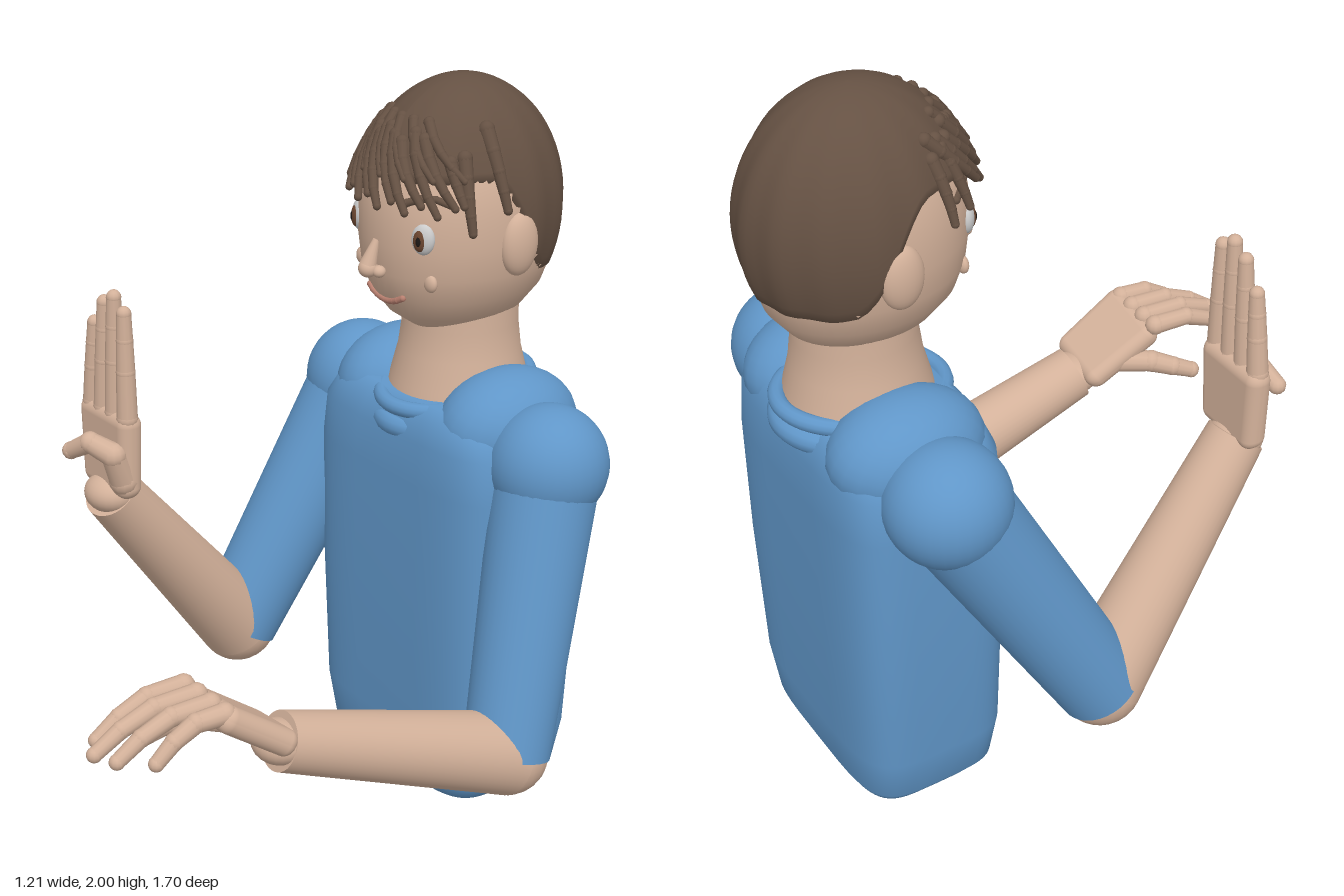
import * as THREE from 'three';
import { RoundedBoxGeometry } from 'three/addons/geometries/RoundedBoxGeometry.js';

const V = (x, y, z) => new THREE.Vector3(x, y, z);
const mat = (color) => { const m = new THREE.MeshStandardMaterial({ side: THREE.DoubleSide }); m.color.set(color); return m; };
const CX = -0.02, CZ = -0.56; // body axis

export function createModel() {
  const root = new THREE.Group();
  const skin = mat(0xd3b19a), blue = mat(0x6096c8), hair = mat(0x655143);
  const white = mat(0xd9dcdc), brown = mat(0x6b4630), pink = mat(0xb98070), dark = mat(0x1c1816);

  const add = (name, geo, m, parent = root) => {
    const mesh = new THREE.Mesh(geo, m);
    mesh.name = name;
    parent.add(mesh);
    return mesh;
  };
  const ball = (name, p, rx, ry, rz, m, parent = root, seg = 24) => {
    const b = add(name, new THREE.SphereGeometry(1, seg, Math.round(seg * 0.7)), m, parent);
    b.position.copy(p);
    b.scale.set(rx, ry, rz);
    return b;
  };
  const limb = (name, a, b, ra, rb, m, parent = root, seg = 28) => {
    const d = b.clone().sub(a);
    const c = add(name, new THREE.CylinderGeometry(rb, ra, d.length(), seg), m, parent);
    c.position.copy(a).addScaledVector(d, 0.5);
    c.quaternion.setFromUnitVectors(V(0, 1, 0), d.normalize());
    return c;
  };
  // Jointed chain: a ball at each point and a tapered link between neighbours
  const chain = (name, pts, r0, r1, m, parent = root) => {
    const g = new THREE.Group();
    g.name = name;
    parent.add(g);
    const n = pts.length - 1, r = (i) => r0 + (r1 - r0) * i / n;
    pts.forEach((p, i) => {
      ball('joint', p, r(i), r(i), r(i), m, g, 12);
      if (i < n) limb('link', p, pts[i + 1], r(i) * 0.96, r(i + 1) * 0.96, m, g, 12);
    });
    return g;
  };
  // Closed loft of superellipse rings: rows are [y, half width, half depth]
  const loft = (rows, power, seg = 64) => {
    const pos = [], idx = [], e = 2 / power;
    const s = (t) => Math.sign(t) * Math.pow(Math.abs(t), e);
    rows.forEach(([y, hx, hz], j) => {
      for (let i = 0; i < seg; i++) {
        const a = i / seg * Math.PI * 2, k = (i + 1) % seg;
        pos.push(CX + hx * s(Math.sin(a)), y, CZ + hz * s(Math.cos(a)));
        if (j) {
          const lo = (j - 1) * seg, hi = j * seg;
          idx.push(lo + i, lo + k, hi + k, lo + i, hi + k, hi + i);
        }
      }
    });
    const g = new THREE.BufferGeometry();
    g.setAttribute('position', new THREE.Float32BufferAttribute(pos, 3));
    g.setIndex(idx);
    g.computeVertexNormals();
    return g;
  };

  // Torso, shoulder rolls and collar
  add('torso', loft([[0, 0.001, 0.001], [0.003, 0.22, 0.13], [0.02, 0.28, 0.175], [0.07, 0.32, 0.2],
    [0.2, 0.345, 0.215], [0.6, 0.362, 0.226], [0.95, 0.367, 0.228], [1.07, 0.355, 0.222],
    [1.13, 0.32, 0.2], [1.16, 0.26, 0.17], [1.17, 0.001, 0.001]], 4.5), blue);
  for (const s of [-1, 1]) {
    const roll = ball('shoulderRoll', V(CX + s * 0.215, 1.105, CZ - 0.01), 0.155, 0.15, 0.205, blue);
    roll.rotation.z = -s * 0.25;
  }
  [[1.145, 0.17, 0.215, 0.022], [1.09, 0.165, 0.21, 0.032]].forEach(([y, rx, rz, t]) => {
    const ring = new THREE.CatmullRomCurve3(Array.from({ length: 16 }, (_, i) => {
      const a = i / 16 * Math.PI * 2;
      return V(CX + rx * Math.sin(a), y - 0.02 * Math.cos(a) + 0.01, CZ - 0.01 + rz * Math.cos(a));
    }), true);
    add('collar', new THREE.TubeGeometry(ring, 64, t, 12, true), blue);
  });

  // Neck and head
  const neck = add('neck', new THREE.LatheGeometry([[0.2, 1.1], [0.185, 1.18], [0.165, 1.26], [0.155, 1.34], [0.155, 1.45]]
    .map(([r, y]) => new THREE.Vector2(r, y)), 40), skin);
  neck.position.set(CX, 0, -0.58);
  const headRows = [[1.325, 0.001, 0.001], [1.329, 0.05, 0.07], [1.345, 0.095, 0.13], [1.39, 0.155, 0.195],
    [1.45, 0.2, 0.24], [1.52, 0.226, 0.262], [1.6, 0.236, 0.272], [1.7, 0.235, 0.272],
    [1.8, 0.212, 0.245], [1.9, 0.15, 0.175], [1.95, 0.09, 0.1], [1.965, 0.001, 0.001]];
  add('head', loft(headRows, 2.05, 48), skin);
  const faceZ = (x, y) => { // front of the head at x, y
    const j = Math.max(1, headRows.findIndex((r) => r[0] > y));
    const [a, b] = [headRows[j - 1], headRows[j]], t = (y - a[0]) / (b[0] - a[0]);
    const hx = a[1] + (b[1] - a[1]) * t, hz = a[2] + (b[2] - a[2]) * t;
    return CZ + hz * Math.sqrt(Math.max(0.02, 1 - ((x - CX) / hx) ** 2));
  };
  const onFace = (x, y, out = 0) => V(x, y, faceZ(x, y) + out);

  // Ears, eyes and cheeks
  for (const s of [-1, 1]) {
    ball('ear', V(CX + s * 0.232, 1.605, -0.57), 0.035, 0.085, 0.057, skin);
    const eye = new THREE.Group();
    eye.name = 'eye';
    eye.position.copy(onFace(CX + s * 0.13, 1.635, -0.004));
    eye.rotation.y = s * 0.45;
    root.add(eye);
    ball('eyeWhite', V(0, 0, 0), 0.032, 0.042, 0.02, white, eye);
    ball('iris', V(-s * 0.004, -0.002, 0.012), 0.018, 0.029, 0.012, brown, eye);
    ball('pupil', V(-s * 0.004, -0.002, 0.02), 0.008, 0.014, 0.006, dark, eye);
    ball('cheek', onFace(CX + s * 0.14, 1.515), 0.022, 0.024, 0.014, skin);
    chain('eyebrow', [-0.045, -0.015, 0.015, 0.04].map((d, i) =>
      onFace(CX + s * 0.135 + d, 1.725 + [0, 0.014, 0.014, 0][i], 0.003)), 0.011, 0.009, hair);
  }
  // Nose and mouth
  limb('noseBridge', V(-0.02, 1.61, -0.29), V(-0.025, 1.545, -0.268), 0.009, 0.023, skin, root, 16);
  ball('noseTip', V(-0.025, 1.535, -0.268), 0.026, 0.024, 0.026, skin);
  for (const s of [-1, 1]) ball('nostril', V(-0.025 + s * 0.026, 1.53, -0.283), 0.018, 0.016, 0.018, skin);
  chain('mouth', Array.from({ length: 9 }, (_, i) => {
    const t = i / 4 - 1;
    return onFace(-0.025 + t * 0.07, 1.438 + 0.022 * t * t, 0.002);
  }), 0.009, 0.009, pink);

  // Hair cap: a dome whose lower edge falls from the forehead to the nape
  const HR = V(0.25, 0.34, 0.293), HY = 1.655;
  const cap = new THREE.SphereGeometry(1, 72, 24), p = cap.attributes.position, uv = cap.attributes.uv;
  for (let i = 0; i < p.count; i++) {
    const v = 1 - uv.getY(i), phi = uv.getX(i) * Math.PI * 2;
    const back = Math.abs(Math.atan2(Math.sin(phi), Math.cos(phi)));
    const edge = 1.77 - 0.29 * THREE.MathUtils.smoothstep(back, 1.3, 2.05);
    const th = v * Math.acos((edge - HY) / HR.y);
    const r = (1 + 0.014 * Math.cos(phi * 14) * Math.sin(th)) * (v > 0.99 ? 0.9 : 1);
    p.setXYZ(i, CX + HR.x * r * Math.sin(th) * Math.sin(phi), HY + HR.y * Math.cos(th) + 0.008 * (1 - v),
      CZ + HR.z * r * Math.sin(th) * Math.cos(phi));
  }
  cap.computeVertexNormals();
  add('hairCap', cap, hair);

  // Fringe and side locks, given by angle from the front and height
  const onHair = (a, y, out) => {
    const k = Math.sqrt(Math.max(0.02, 1 - ((y - HY) / HR.y) ** 2)) * out;
    return V(CX + HR.x * k * Math.sin(a), y, CZ + HR.z * k * Math.cos(a));
  };
  const lock = (name, a0, y0, a1, y1, r = 0.019) => chain(name, [0, 0.25, 0.5, 0.75, 1].map((t) =>
    onHair(a0 + (a1 - a0) * t, y0 + (y1 - y0) * t, 0.98 + 0.07 * t)), r, r * 0.55, hair);
  for (let i = 0; i < 11; i++) {
    const a = -0.85 + i * 0.155;
    lock('fringe', a - 0.2, 1.89 - 0.012 * (i % 3), a + 0.22, 1.745 - 0.022 * (i % 2) - 0.002 * i);
  }
  for (let i = 0; i < 5; i++) lock('upperFringe', -0.6 + i * 0.27, 1.915, -0.2 + i * 0.3, 1.79, 0.016);
  lock('sideLock', 1.3, 1.9, 1.4, 1.71, 0.022);
  lock('sideLock', 1.0, 1.84, 1.08, 1.66, 0.021);
  lock('sideLock', 0.85, 1.83, 1.0, 1.73);
  lock('sideLock', -1.1, 1.85, -1.12, 1.7);
  lock('sideLock', -0.9, 1.86, -0.88, 1.71);

  // Arms: sleeve, elbow, forearm, wrist
  const arm = (side, shoulder, elbow, wrist) => {
    const g = new THREE.Group();
    g.name = side + 'Arm';
    root.add(g);
    ball('shoulder', shoulder, 0.16, 0.16, 0.16, blue, g, 32);
    limb('sleeve', shoulder, elbow, 0.142, 0.116, blue, g, 36);
    ball('elbow', elbow, 0.112, 0.112, 0.112, skin, g);
    limb('forearm', elbow, wrist, 0.112, 0.077, skin, g, 36);
    ball('wrist', wrist, 0.075, 0.055, 0.07, skin, g);
    return g;
  };
  // Palm: rounded slab narrowing to the wrist, pointing along dir
  const palm = (centre, dir, w, len, thick, parent) => {
    const geo = new RoundedBoxGeometry(w, len, thick, 5, 0.033), q = geo.attributes.position;
    for (let i = 0; i < q.count; i++) q.setX(i, q.getX(i) * (0.95 + 0.3 * Math.min(0, q.getY(i) / len + 0.1)));
    const m = add('palm', geo, skin, parent);
    m.position.copy(centre);
    m.quaternion.setFromUnitVectors(V(0, 1, 0), dir.normalize());
  };

  // Raised right hand, thumb folded across the palm
  const rightArm = arm('right', V(-0.41, 1.05, CZ), V(-0.495, 0.345, -0.175), V(-0.42, 0.91, 0.285));
  palm(V(-0.415, 1.04, 0.28), V(0, 1, 0), 0.24, 0.245, 0.07, rightArm);
  [[-0.495, -0.475, 1.375], [-0.442, -0.425, 1.445], [-0.387, -0.378, 1.472], [-0.33, -0.332, 1.44]].forEach(([x0, x1, y1]) =>
    chain('finger', [0, 0.45, 0.75, 1].map((t) => V(x0 + (x1 - x0) * t, 1.15 + (y1 - 1.15) * t, 0.283)), 0.029, 0.02, skin, rightArm));
  chain('thumb', [V(-0.345, 0.97, 0.29), V(-0.335, 1.055, 0.325), V(-0.385, 1.085, 0.365), V(-0.45, 1.045, 0.385)],
    0.04, 0.024, skin, rightArm);

  // Reaching left hand, palm down with drooping fingers
  const leftArm = arm('left', V(0.37, 1.05, CZ), V(0.487, 0.312, -0.35), V(0.43, 0.565, 0.35));
  palm(V(0.415, 0.65, 0.455), V(-0.03, 0.14, 0.2), 0.24, 0.25, 0.07, leftArm);
  [[0.305, 0.285, 0.785], [0.36, 0.34, 0.825], [0.42, 0.4, 0.8], [0.478, 0.462, 0.73]].forEach(([x0, x1, z1]) =>
    chain('finger', [[0, 0.73], [0.42, 0.728], [0.74, 0.695], [1, 0.65]].map(([t, y]) =>
      V(x0 + (x1 - x0) * t, y, 0.545 + (z1 - 0.545) * t)), 0.029, 0.02, skin, leftArm));
  chain('thumb', [V(0.35, 0.62, 0.44), V(0.285, 0.625, 0.52), V(0.255, 0.605, 0.575), V(0.24, 0.58, 0.63)],
    0.036, 0.024, skin, leftArm);

  return root;
}
